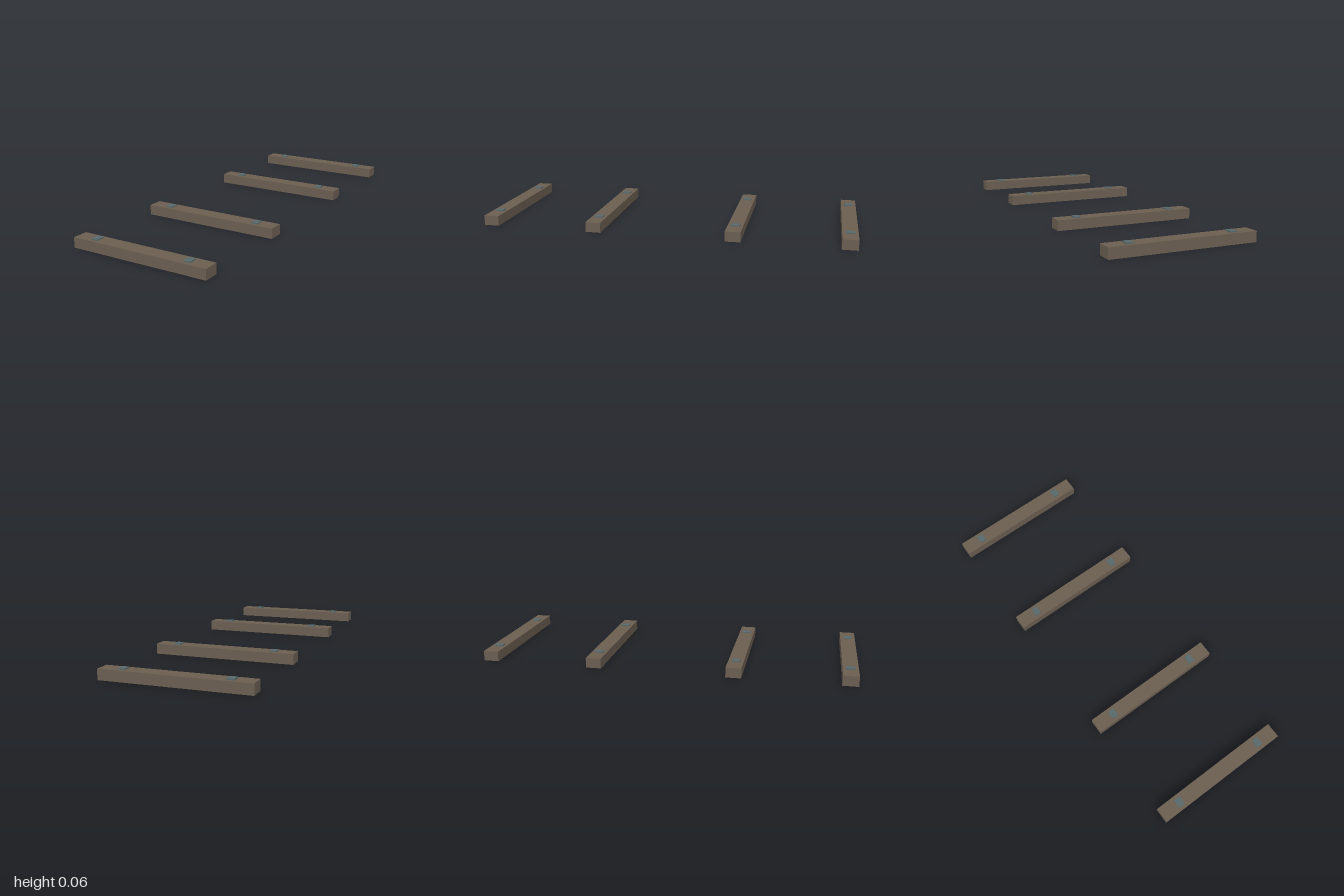
import * as THREE from 'three';

const LENGTH = 0.76, HEIGHT = 0.054, DEPTH = 0.082;
const PAD = { width: 0.036, height: 0.006, depth: 0.046, x: 0.266 };

// Box whose underside is left open
function openBox(w, h, d) {
  const geometry = new THREE.BoxGeometry(w, h, d);
  const index = Array.from(geometry.index.array);
  index.splice(18, 6); // bottom face
  geometry.setIndex(index);
  geometry.clearGroups();
  geometry.translate(0, h / 2, 0);
  return geometry;
}

export function createModel() {
  const wood = new THREE.MeshStandardMaterial({ color: 0x6b5e51, side: THREE.DoubleSide });
  wood.name = 'weathered wood';
  const steel = new THREE.MeshStandardMaterial({ color: 0x58686b, side: THREE.DoubleSide });
  steel.name = 'blue grey steel';

  const beamGeometry = openBox(LENGTH, HEIGHT, DEPTH);
  const padGeometry = openBox(PAD.width, PAD.height, PAD.depth);

  const model = new THREE.Group();
  model.name = 'crossBeams';

  // Four parallel beams, each with a fixing plate near both ends
  for (const z of [-0.959, -0.374, 0.374, 0.959]) {
    const sleeper = new THREE.Group();
    sleeper.name = 'sleeper';
    sleeper.position.z = z;

    const beam = new THREE.Mesh(beamGeometry, wood);
    beam.name = 'beam';
    sleeper.add(beam);

    for (const side of [-1, 1]) {
      const plate = new THREE.Mesh(padGeometry, steel);
      plate.name = side > 0 ? 'leftFixingPlate' : 'rightFixingPlate';
      plate.position.set(side * PAD.x, HEIGHT, 0);
      sleeper.add(plate);
    }
    model.add(sleeper);
  }
  return model;
}
